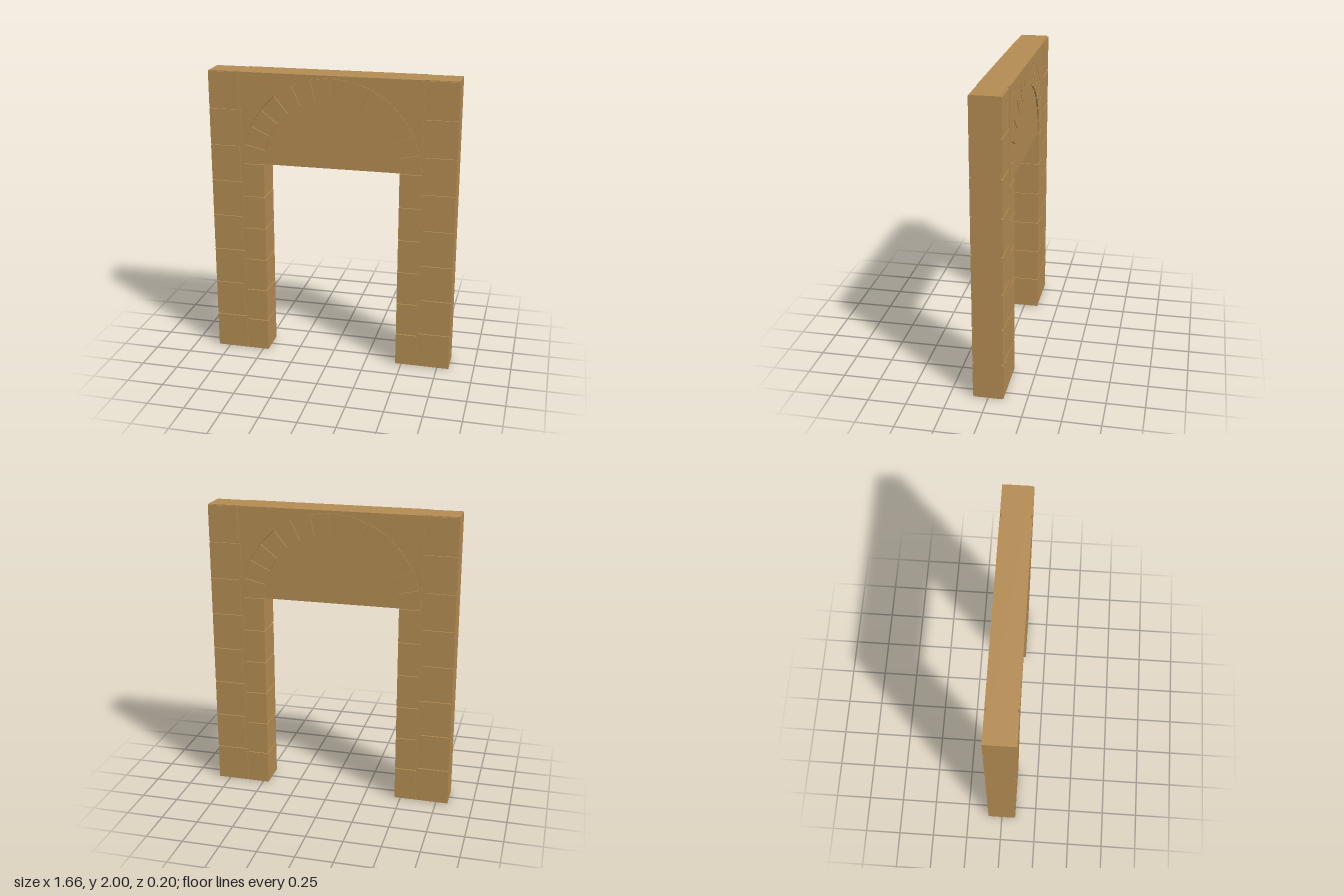
import * as THREE from 'three';

const DEPTH = 0.2, CORE = 0.18;      // stone faces stand slightly proud of the core
const SPRING = 1.38;                 // height where the arch starts
const R_IN = 0.46, R_OUT = 0.605;    // arch radii
const COUNT = 14;                    // arch stones
const GAP = 0.008;                   // joint width

export function createModel() {
  const group = new THREE.Group();
  const stone = new THREE.MeshStandardMaterial({ color: 0xb48c53 });
  stone.name = 'sandstone';

  const add = (name, geometry, x = 0, y = 0, z = 0) => {
    const mesh = new THREE.Mesh(geometry, stone);
    mesh.name = name;
    mesh.position.set(x, y, z);
    group.add(mesh);
    return mesh;
  };
  const slab = (name, points, depth) => {
    const shape = new THREE.Shape(points.map(([x, y]) => new THREE.Vector2(x, y)));
    const geometry = new THREE.ExtrudeGeometry(shape, { depth, bevelEnabled: false });
    return add(name, geometry.translate(0, 0, -depth / 2));
  };
  const polar = (r, a) => [r * Math.cos(a), SPRING + r * Math.sin(a)];

  // Recessed core: both piers and the filled panel under the arch
  slab('core', [
    [-0.83, 0], [-0.468, 0], [-0.468, SPRING], [0.468, SPRING], [0.468, 0],
    [0.83, 0], [0.83, 2], [-0.83, 2],
  ], CORE);

  // Wall above the arch, cut to the faceted outer curve
  const curve = [];
  for (let i = 0; i <= COUNT; i++) curve.push(polar(R_OUT, (i / COUNT) * Math.PI));
  slab('spandrel', [[0.607, 2], [-0.607, 2], [-0.607, SPRING], ...curve.reverse(), [0.607, SPRING]], DEPTH);

  // Wedge stones of the arch, with parallel-sided joints
  const step = Math.PI / COUNT;
  for (let i = 0; i < COUNT; i++) {
    const a = i * step, b = a + step;
    const cutIn = GAP / 2 / R_IN, cutOut = GAP / 2 / R_OUT;
    slab('archStone', [
      polar(R_IN, a + cutIn), polar(R_OUT - 0.002, a + cutOut),
      polar(R_OUT - 0.002, b - cutOut), polar(R_IN, b - cutIn),
    ], DEPTH);
  }

  for (const side of [-1, 1]) {
    // Jamb stones lining the opening
    const h = SPRING / 6;
    for (let i = 0; i < 6; i++) {
      add('jambStone', new THREE.BoxGeometry(0.145, h - GAP, DEPTH), side * 0.5325, (i + 0.5) * h, 0);
    }
    // Outer quoins, alternating long and short, on both faces
    for (let i = 0; i < 8; i++) {
      const inner = i % 2 ? 0.627 : 0.613, outer = 0.829;
      for (const face of [-1, 1]) {
        add('quoinStone', new THREE.BoxGeometry(outer - inner, 0.25 - GAP, 0.015),
          side * (inner + outer) / 2, (i + 0.5) * 0.25, face * (DEPTH / 2 - 0.0075));
      }
    }
  }
  return group;
}
